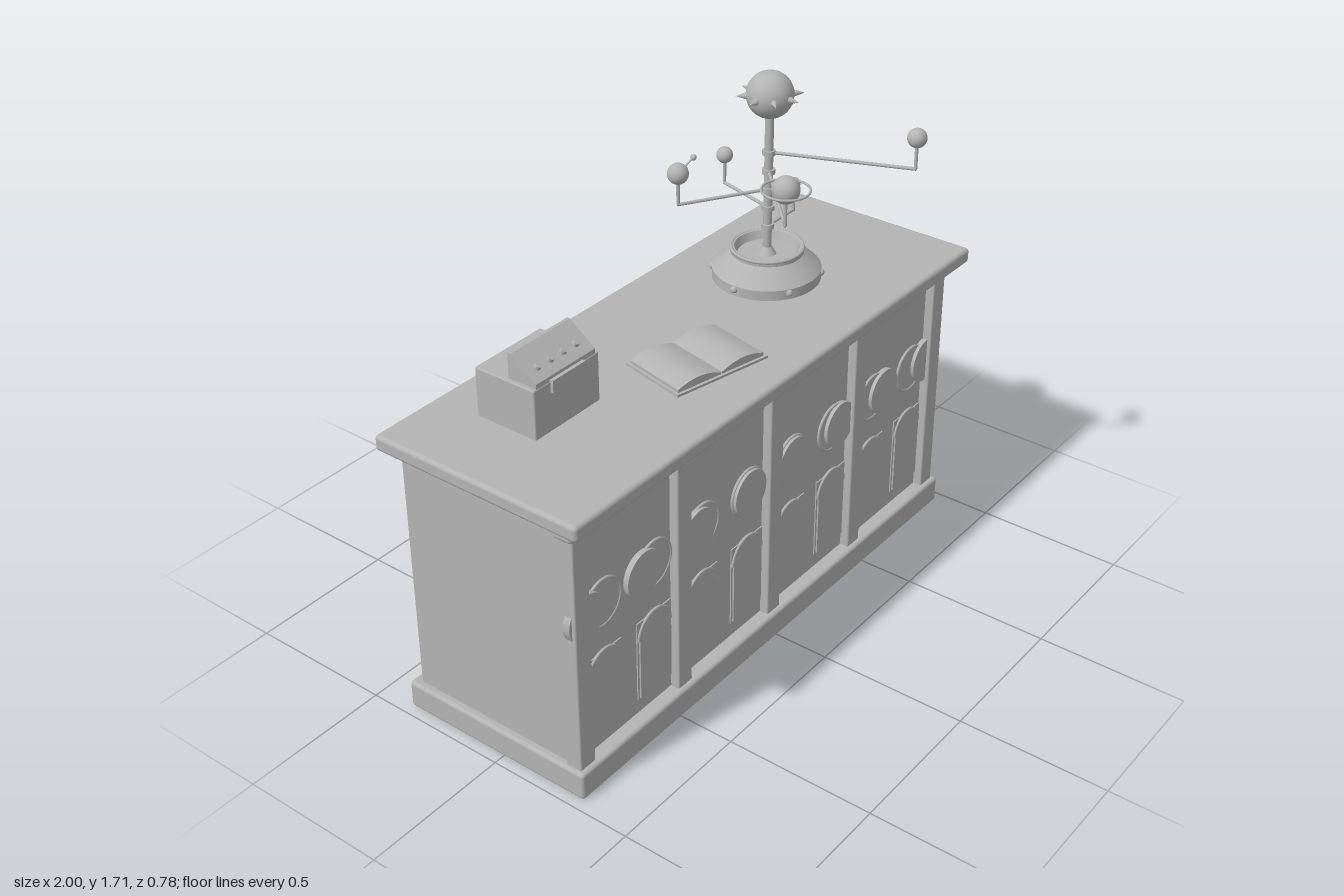
import * as THREE from 'three';
import { RoundedBoxGeometry } from 'three/addons/geometries/RoundedBoxGeometry.js';

export function createModel() {
  const root = new THREE.Group();
  const grey = new THREE.MeshStandardMaterial({ color: 0xb3b3b3 });

  const add = (name, geo, x = 0, y = 0, z = 0, parent = root) => {
    const m = new THREE.Mesh(geo, grey);
    m.name = name;
    m.position.set(x, y, z);
    parent.add(m);
    return m;
  };
  // Box from its minimum and maximum corners; r rounds the edges
  const box = (name, x0, x1, y0, y1, z0, z1, r = 0, parent = root) => {
    const s = [x1 - x0, y1 - y0, z1 - z0];
    const g = r ? new RoundedBoxGeometry(...s, 3, r) : new THREE.BoxGeometry(...s);
    return add(name, g, (x0 + x1) / 2, (y0 + y1) / 2, (z0 + z1) / 2, parent);
  };
  const group = (name, x = 0, y = 0, z = 0, parent = root) => {
    const g = new THREE.Group();
    g.name = name;
    g.position.set(x, y, z);
    parent.add(g);
    return g;
  };
  const ball = (name, r, x, y, z, parent) =>
    add(name, new THREE.SphereGeometry(r, 28, 18), x, y, z, parent);
  // Round rod between two points
  const rod = (name, a, b, r, parent) => {
    const d = b.clone().sub(a);
    const m = add(name, new THREE.CylinderGeometry(r, r, d.length(), 10), 0, 0, 0, parent);
    m.position.copy(a).add(b).multiplyScalar(0.5);
    m.quaternion.setFromUnitVectors(new THREE.Vector3(0, 1, 0), d.normalize());
    return m;
  };
  const extrude = (shape, depth) =>
    new THREE.ExtrudeGeometry(shape, { depth, bevelEnabled: false, curveSegments: 20 });

  // Counter
  box('plinth', -0.965, 0.965, 0, 0.095, -0.38, 0.315, 0.012);
  box('cabinet', -0.94, 0.94, 0.09, 0.96, -0.347, 0.266);
  box('countertop', -1, 1, 0.953, 1.006, -0.39, 0.355, 0.014);

  // Pilasters with capitals
  for (let i = -2; i <= 2; i++) {
    const x = i * 0.4585;
    box('pilaster', x - 0.033, x + 0.033, 0.09, 0.91, 0.24, 0.297, 0.006);
    box('capital', x - 0.046, x + 0.046, 0.905, 0.948, 0.235, 0.303, 0.012);
  }

  // Moon phase discs above arched panels, mirrored about the centre
  const disc = (name, r, x, z0, z1) => {
    const g = new THREE.CylinderGeometry(r, r, z1 - z0, 40).rotateX(Math.PI / 2);
    return add(name, g, x, 0.605, (z0 + z1) / 2);
  };
  const arch = new THREE.Shape();
  arch.moveTo(-0.072, 0.15);
  arch.lineTo(0.072, 0.15);
  arch.lineTo(0.072, 0.365);
  arch.absarc(0, 0.365, 0.072, 0, Math.PI, false);
  arch.closePath();
  for (const side of [-1, 1]) {
    [0, 0.027, 0.054, 0.08].forEach((shift, i) => {
      const x = side * (0.1148 + i * 0.2295);
      disc('moonRecess', 0.08, x, 0.26, 0.272);
      add('moonRing', new THREE.TorusGeometry(0.079, 0.005, 8, 40), x, 0.605, 0.27);
      disc('moonFace', 0.078, x + side * shift, 0.26, 0.284);
      box('panelBack', x - 0.08, x + 0.08, 0.145, 0.43, 0.26, 0.27);
      add('archPanel', extrude(arch, 0.012), x, 0, 0.263);
      add('archMoulding', new THREE.TorusGeometry(0.074, 0.005, 8, 24, Math.PI), x, 0.365, 0.271);
    });
  }

  // Control box with sloped panel and knobs
  const control = group('controlBox', -0.606, 0, 0);
  box('controlBody', -0.139, 0.139, 1.0, 1.167, -0.228, -0.006, 0.005, control);
  box('controlTab', -0.07, 0.07, 1.132, 1.172, -0.02, 0.004, 0, control);
  const wedge = new THREE.Shape();
  [[0.008, 1.165], [0.11, 1.165], [0.11, 1.248], [0.1, 1.248], [0.008, 1.182]]
    .forEach(([z, y], i) => (i ? wedge.lineTo(z, y) : wedge.moveTo(z, y)));
  const panel = add('slopedPanel', extrude(wedge, 0.252), -0.126, 0, 0, control);
  panel.rotation.y = Math.PI / 2;
  for (let i = 0; i < 4; i++) {
    const k = add('knob', new THREE.CylinderGeometry(0.01, 0.012, 0.018, 16),
      -0.081 + i * 0.054, 1.209, -0.04, control);
    k.rotation.x = 0.62;
  }

  // Open book with bowed pages
  const book = group('book', -0.128, 1.005, 0.087);
  book.rotation.y = -0.215;
  box('bookCover', -0.175, 0.175, 0, 0.009, -0.12, 0.12, 0, book);
  for (const s of [-1, 1]) {
    const page = new THREE.BoxGeometry(0.164, 0.02, 0.222, 12, 1, 1);
    const p = page.attributes.position;
    for (let i = 0; i < p.count; i++) {
      const t = s * p.getX(i) / 0.164 + 0.5;
      if (p.getY(i) > 0) p.setY(i, -0.004 + 0.026 * Math.sin(Math.PI * Math.min(1, 0.08 + t * 0.8)));
    }
    page.computeVertexNormals();
    add('pages', page, s * 0.0835, 0.013, 0, book);
  }

  // Orrery base, a turned dish with rivets
  const orrery = group('orrery', 0.44, 0, -0.069);
  const profile = [[0, 1.0], [0.176, 1.0], [0.176, 1.04], [0.168, 1.048], [0.118, 1.095],
    [0.118, 1.112], [0.105, 1.112], [0.095, 1.085], [0.03, 1.085], [0.014, 1.11], [0, 1.11]];
  // Each section is its own lathe so that the edges stay crisp
  for (let i = 0; i < profile.length - 1; i++) {
    const pts = [profile[i], profile[i + 1]].map(([r, y]) => new THREE.Vector2(r, y));
    add('orreryBase', new THREE.LatheGeometry(pts, 48), 0, 0, 0, orrery);
  }
  const rim = add('baseRim', new THREE.TorusGeometry(0.115, 0.006, 8, 48), 0, 1.109, 0, orrery);
  rim.rotation.x = Math.PI / 2;
  for (let i = 0; i < 6; i++) {
    const a = Math.PI / 6 + i * Math.PI / 3;
    ball('rivet', 0.012, 0.174 * Math.sin(a), 1.027, 0.174 * Math.cos(a), orrery);
  }

  // Central post and spiked sun
  add('post', new THREE.CylinderGeometry(0.014, 0.014, 0.5, 20), 0, 1.33, 0, orrery);
  ball('sun', 0.075, 0, 1.63, 0, orrery);
  for (let i = 0; i < 8; i++) {
    const a = i * Math.PI / 4;
    const dir = new THREE.Vector3(Math.sin(a), 0, Math.cos(a));
    const c = add('sunSpike', new THREE.ConeGeometry(0.013, 0.04, 12),
      dir.x * 0.088, 1.63, dir.z * 0.088, orrery);
    c.quaternion.setFromUnitVectors(new THREE.Vector3(0, 1, 0), dir);
  }

  // Planets: x, z, planet height, arm height, radius (x and z from the post)
  const planets = [
    [0.173, 0.426, 1.54, 1.437, 0.031],
    [-0.276, 0.259, 1.49, 1.373, 0.043],
    [-0.258, -0.157, 1.415, 1.31, 0.034],
    [0.06, -0.216, 1.345, 1.247, 0.027],
    [0.142, 0, 1.275, 1.183, 0.021],
  ];
  planets.forEach(([x, z, y, armY, r], i) => {
    const elbow = new THREE.Vector3(x, armY, z);
    add('collar', new THREE.CylinderGeometry(0.021, 0.021, 0.016, 20), 0, armY, 0, orrery);
    rod('arm', new THREE.Vector3(0, armY, 0), elbow, 0.0055, orrery);
    rod('stem', elbow, new THREE.Vector3(x, y, z), 0.0055, orrery);
    ball('elbow', 0.0055, x, armY, z, orrery);
    ball('planet', r, x, y, z, orrery);
    if (i === 1) {
      const ring = add('planetRing', new THREE.TorusGeometry(0.073, 0.004, 8, 48), x, y, z, orrery);
      ring.rotation.x = Math.PI / 2;
    }
    if (i === 2) {
      const moon = new THREE.Vector3(x + 0.078, y + 0.026, z);
      rod('moonRod', new THREE.Vector3(x, y, z), moon, 0.003, orrery);
      ball('smallMoon', 0.01, moon.x, moon.y, moon.z, orrery);
    }
  });

  return root;
}
